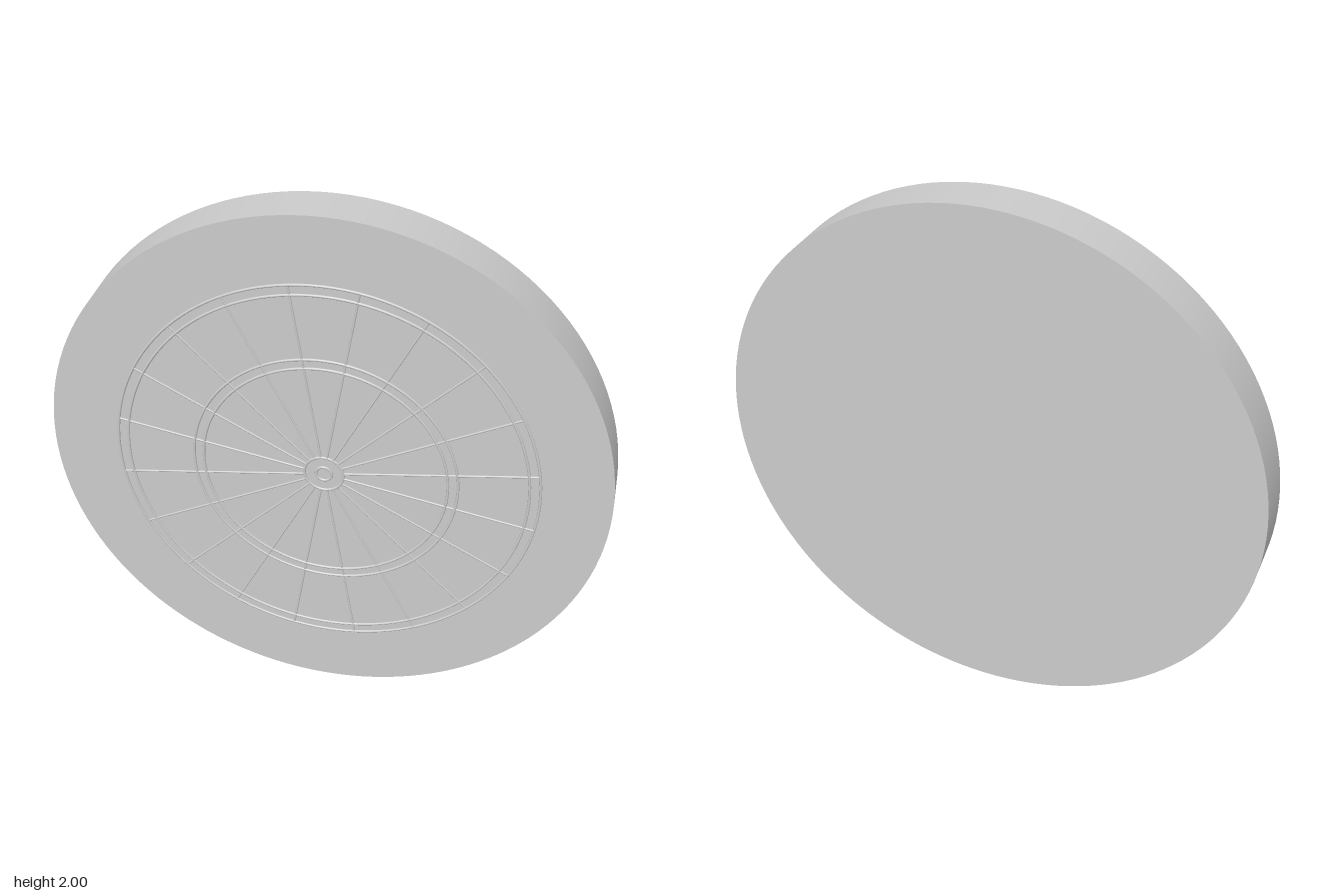
import * as THREE from 'three';

const CENTRE_Y = 1;
const FACE_Z = 0.08;   // front surface of the board
const BACK_Z = -0.085;
const WIRE = 0.005;    // wire radius

export function createModel() {
  const group = new THREE.Group();
  const material = new THREE.MeshStandardMaterial({ color: 0xcccccc });

  const add = (name, geometry, parent = group) => {
    const mesh = new THREE.Mesh(geometry, material);
    mesh.name = name;
    parent.add(mesh);
    return mesh;
  };

  // Solid round board
  const board = add('board', new THREE.CylinderGeometry(1, 1, FACE_Z - BACK_Z, 128).rotateX(Math.PI / 2));
  board.position.set(0, CENTRE_Y, (FACE_Z + BACK_Z) / 2);

  // Wire frame, half sunk into the front surface
  const wires = new THREE.Group();
  wires.name = 'wireFrame';
  wires.position.set(0, CENTRE_Y, FACE_Z);
  group.add(wires);

  // Concentric wires: outer band, middle band, centre rings
  const rings = {
    outerBandWire: [0.755, 0.718],
    middleBandWire: [0.473, 0.438],
    centreWire: [0.07, 0.028],
  };
  for (const [name, radii] of Object.entries(rings)) {
    for (const r of radii) add(name, new THREE.TorusGeometry(r, WIRE, 8, 128), wires);
  }

  // Twenty radial wires from the centre ring to the outer band
  const inner = 0.07, outer = 0.755;
  const spoke = new THREE.CylinderGeometry(WIRE * 0.8, WIRE * 0.8, outer - inner, 8)
    .translate(0, (inner + outer) / 2, 0);
  for (let i = 0; i < 20; i++) {
    add('radialWire', spoke, wires).rotation.z = ((i + 0.5) / 20) * Math.PI * 2;
  }

  return group;
}
